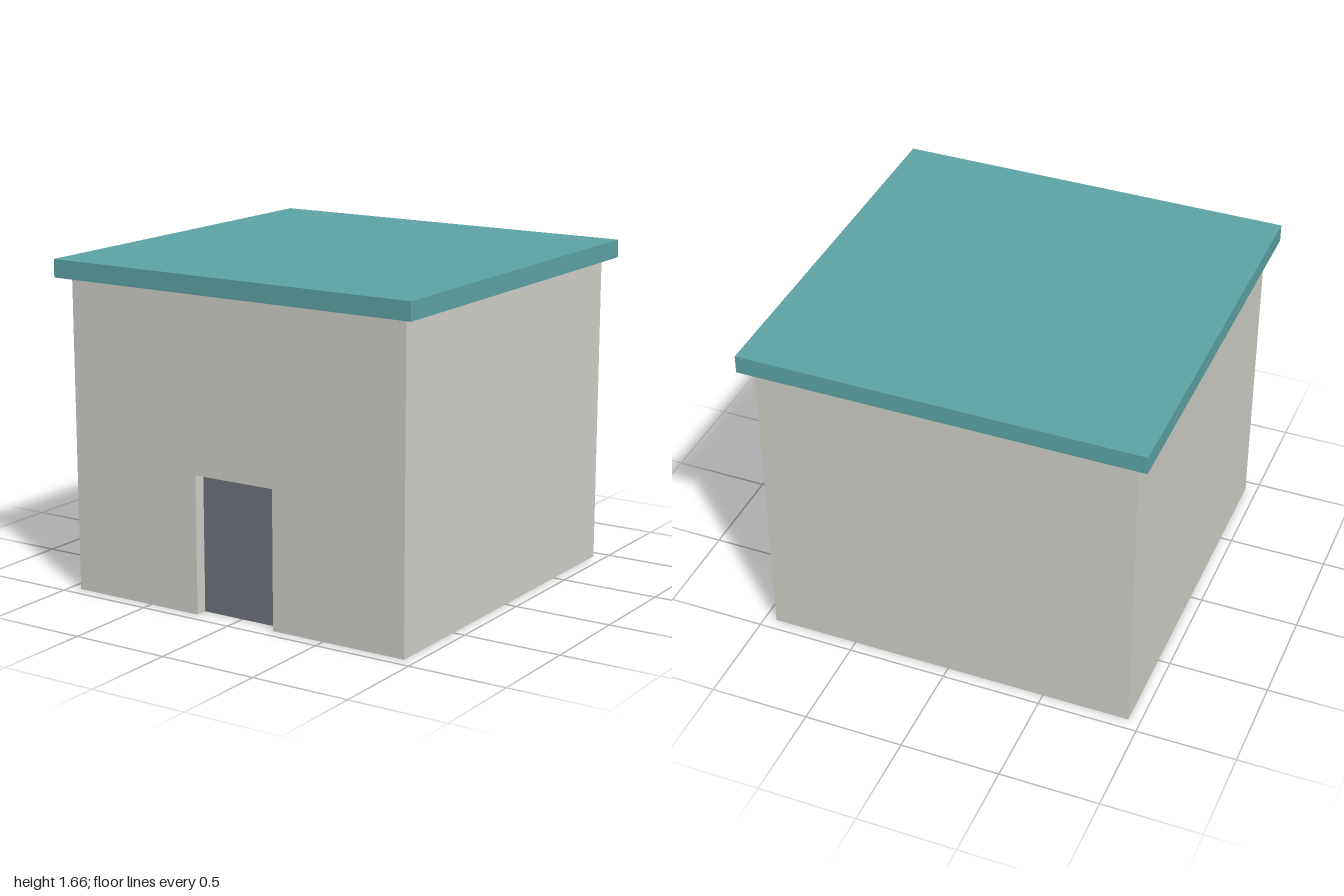
import * as THREE from 'three';

const HALF = 0.94;      // half width of the walls
const T = 0.06;         // wall thickness
const H = 1.57;         // wall height
const DOOR_W = 0.44, DOOR_H = 0.69;

export function createModel() {
  const model = new THREE.Group();
  model.name = 'house';

  const wallMat = new THREE.MeshStandardMaterial({ color: 0xd2d1cb });
  const roofMat = new THREE.MeshStandardMaterial({ color: 0x5ea5a5 });
  const doorMat = new THREE.MeshStandardMaterial({ color: 0x72757e });
  const floorMat = new THREE.MeshStandardMaterial({ color: 0xa0a0a2 });

  // Box placed by its centre in x and z and by its underside in y
  function box(name, material, w, h, d, x, y, z) {
    const mesh = new THREE.Mesh(new THREE.BoxGeometry(w, h, d), material);
    mesh.name = name;
    mesh.position.set(x, y + h / 2, z);
    model.add(mesh);
  }

  // Front wall, with the doorway cut up from the ground
  const outline = new THREE.Shape([
    [-HALF, 0], [-DOOR_W / 2, 0], [-DOOR_W / 2, DOOR_H], [DOOR_W / 2, DOOR_H],
    [DOOR_W / 2, 0], [HALF, 0], [HALF, H], [-HALF, H],
  ].map(([x, y]) => new THREE.Vector2(x, y)));
  const frontWall = new THREE.Mesh(
    new THREE.ExtrudeGeometry(outline, { depth: T, bevelEnabled: false }), wallMat);
  frontWall.name = 'frontWall';
  frontWall.position.z = HALF - T;
  model.add(frontWall);

  // Back and side walls
  const inner = 2 * (HALF - T);
  box('backWall', wallMat, 2 * HALF, H, T, 0, 0, -HALF + T / 2);
  for (const [name, s] of [['leftWall', 1], ['rightWall', -1]]) {
    box(name, wallMat, T, H, inner, s * (HALF - T / 2), 0, 0);
  }

  // Floor slab between the walls
  box('floor', floorMat, inner, 0.03, inner, 0, 0, 0);

  // Door panel, set back to the inner face of the wall
  box('door', doorMat, DOOR_W - 0.01, DOOR_H - 0.004, 0.03, 0, 0.002, HALF - T - 0.01);

  // Flat overhanging roof
  box('roof', roofMat, 2, 0.09, 2, 0, H, 0);

  return model;
}
